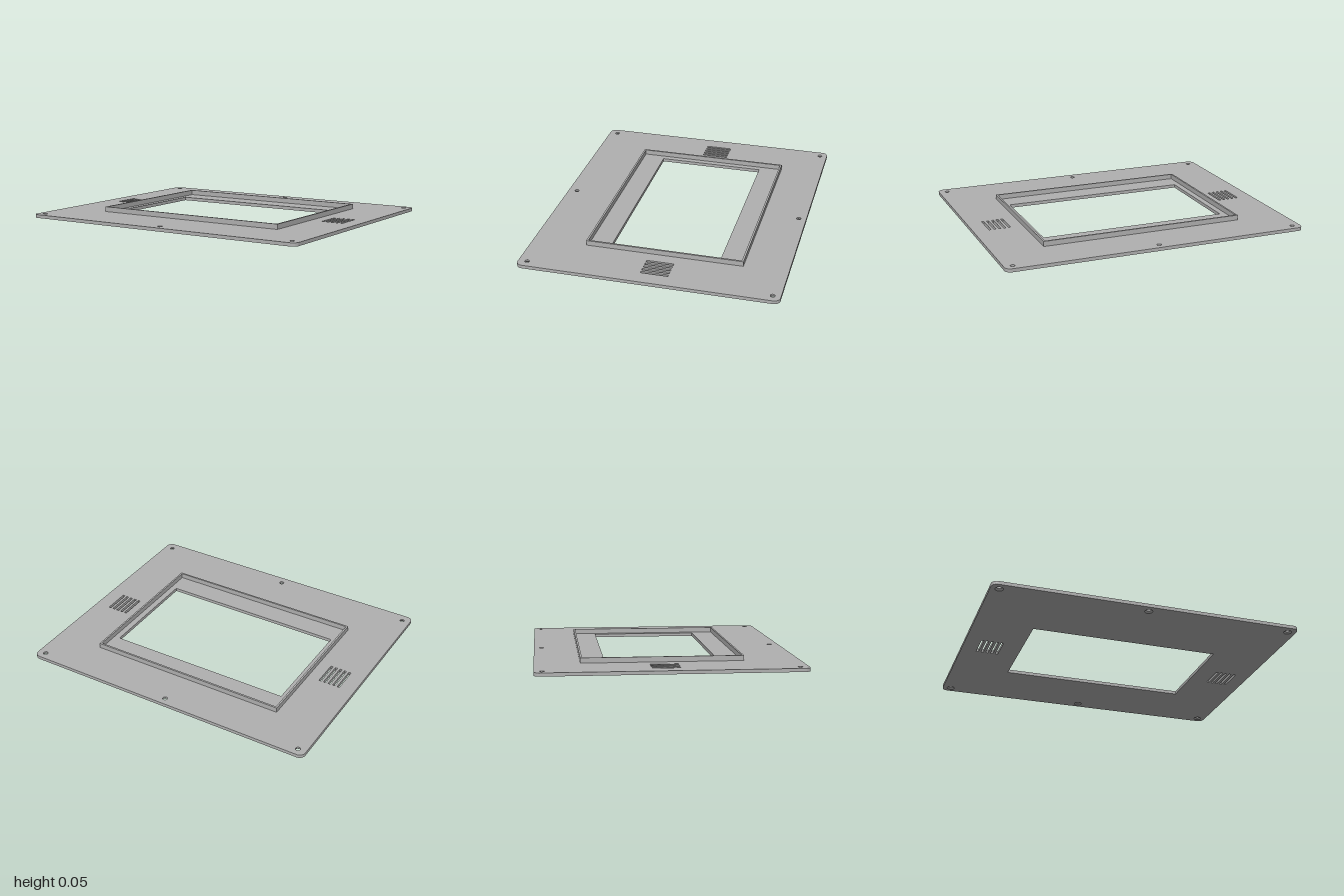
import * as THREE from 'three';
import { toCreasedNormals } from 'three/addons/utils/BufferGeometryUtils.js';

const PLATE_H = 0.022;
const FRAME_TOP = 0.055;
const SINK_R = 0.026;
const HOLE_R = 0.015;

// Rectangle given by its x and z limits
function rect(PathType, x0, x1, z0, z1) {
  const p = new PathType();
  p.moveTo(x0, z0);
  p.lineTo(x1, z0);
  p.lineTo(x1, z1);
  p.lineTo(x0, z1);
  p.closePath();
  return p;
}

function roundedRect(w, d, r) {
  const s = new THREE.Shape();
  s.absarc(w - r, d - r, r, 0, Math.PI / 2);
  s.absarc(-w + r, d - r, r, Math.PI / 2, Math.PI);
  s.absarc(-w + r, -d + r, r, Math.PI, Math.PI * 1.5);
  s.absarc(w - r, -d + r, r, Math.PI * 1.5, Math.PI * 2);
  s.closePath();
  return s;
}

// Extrude a shape drawn in x,z between two heights
function slab(shape, y0, y1) {
  const g = new THREE.ExtrudeGeometry(shape, { depth: y1 - y0, bevelEnabled: false, curveSegments: 12 });
  g.rotateX(Math.PI / 2);
  g.translate(0, y1, 0);
  return toCreasedNormals(g, 0.6);
}

export function createModel() {
  const model = new THREE.Group();
  model.name = 'displayBezel';
  const grey = new THREE.MeshStandardMaterial({ color: 0xb0b0b0 });
  grey.name = 'grey';

  const add = (name, geometry) => {
    const mesh = new THREE.Mesh(geometry, grey);
    mesh.name = name;
    model.add(mesh);
    return mesh;
  };

  // Base plate with display window, vents and screw holes
  const plate = roundedRect(1, 0.83, 0.04);
  plate.holes.push(rect(THREE.Path, -0.62, 0.62, -0.39, 0.32));
  for (const side of [-1, 1]) {
    for (let i = -2; i <= 2; i++) {
      const x = side * 0.825 + i * 0.0325;
      plate.holes.push(rect(THREE.Path, x - 0.008, x + 0.008, -0.122, 0.053));
    }
  }
  const screws = [];
  for (const x of [-0.945, 0, 0.945]) {
    for (const z of [-0.78, 0.772]) screws.push([x, z]);
  }
  for (const [x, z] of screws) {
    const hole = new THREE.Path();
    hole.absarc(x, z, SINK_R, 0, Math.PI * 2);
    plate.holes.push(hole);
  }
  add('basePlate', slab(plate, 0, PLATE_H));

  // Countersunk linings, open towards the underside
  const profile = [[SINK_R, PLATE_H], [HOLE_R, PLATE_H], [HOLE_R, 0.011], [SINK_R, 0]]
    .map(([r, y]) => new THREE.Vector2(r, y));
  const sink = toCreasedNormals(new THREE.LatheGeometry(profile, 24), 0.6);
  for (const [x, z] of screws) add('screwCountersink', sink).position.set(x, 0, z);

  // Thin raised wall around the display recess
  const wall = rect(THREE.Shape, -0.672, 0.672, -0.545, 0.476);
  wall.holes.push(rect(THREE.Path, -0.66, 0.66, -0.533, 0.464));
  add('displayFrame', slab(wall, PLATE_H, FRAME_TOP));

  return model;
}
